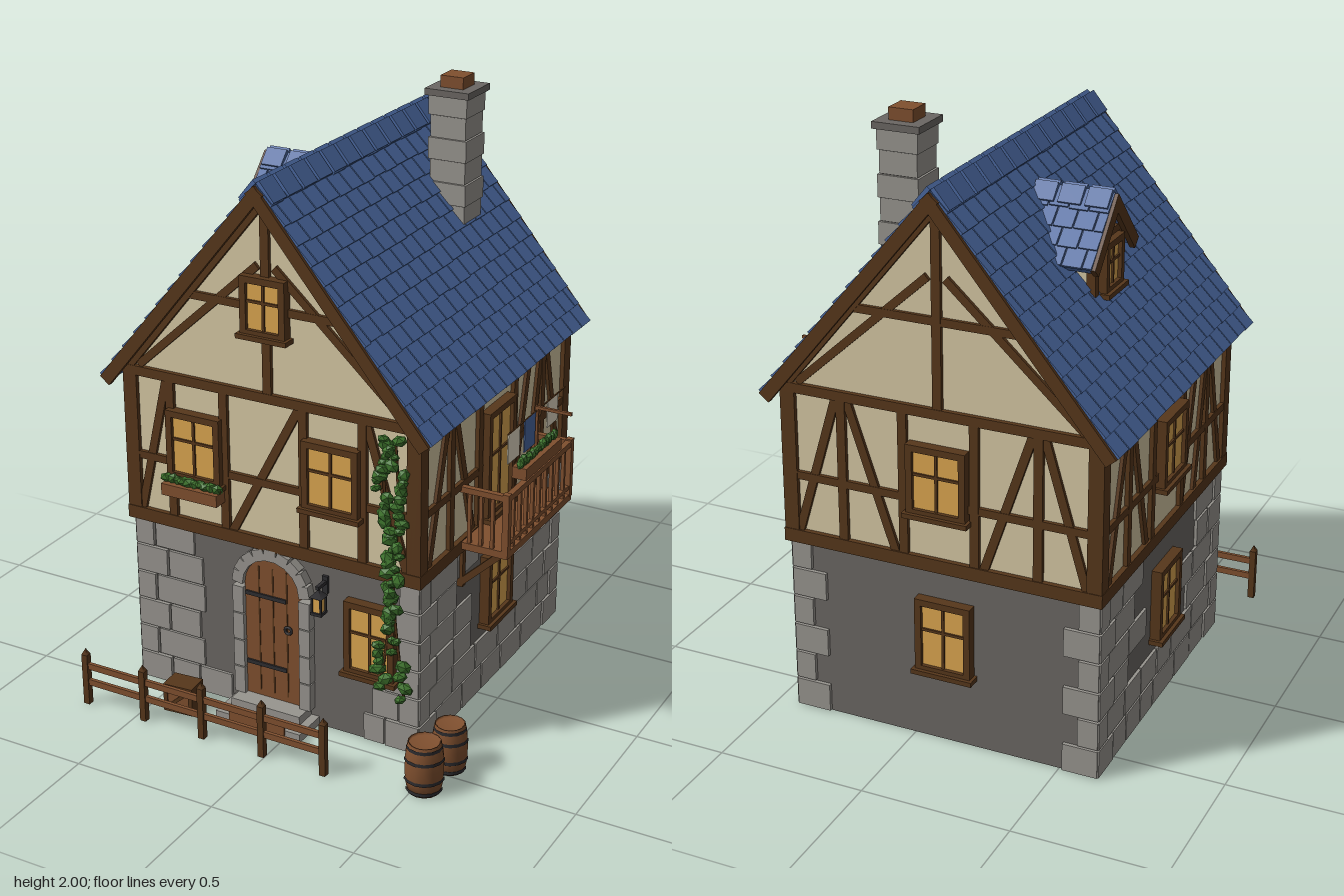
import * as THREE from 'three';
import { mergeGeometries } from 'three/addons/utils/BufferGeometryUtils.js';

const mat = (name, color) => Object.assign(new THREE.MeshStandardMaterial({ color }), { name });
const M = {
  stone: mat('stone', 0x98958f), mortar: mat('mortar', 0x6b6763), plaster: mat('plaster', 0xd6c8a4),
  timber: mat('dark timber', 0x57371b), wood: mat('warm wood', 0x80502f), roof: mat('blue tile', 0x4a68a0),
  glass: mat('lit glass', 0xdca650), leaf: mat('leaf green', 0x427a30), iron: mat('iron', 0x2e2d30),
  linen: mat('linen', 0xe2dac4),
};
let seed = 7;
const rnd = () => (seed = (seed * 16807) % 2147483647) / 2147483647;

// helpers: transformed boxes, bars between two points, merged named meshes
const put = (g, x, y, z, rx = 0, ry = 0, rz = 0) => g.applyMatrix4(new THREE.Matrix4().compose(
  new THREE.Vector3(x, y, z), new THREE.Quaternion().setFromEuler(new THREE.Euler(rx, ry, rz)), new THREE.Vector3(1, 1, 1)));
const box = (w, h, d, ...p) => put(new THREE.BoxGeometry(w, h, d), ...p);
const bar = (x1, y1, x2, y2, w, d, z = 0) =>
  box(Math.hypot(x2 - x1, y2 - y1), w, d, (x1 + x2) / 2, (y1 + y2) / 2, z, 0, 0, Math.atan2(y2 - y1, x2 - x1));
function add(parent, name, material, geos) {
  const mesh = new THREE.Mesh(mergeGeometries(geos.map(g => (g.index ? g.toNonIndexed() : g))), material);
  mesh.name = name;
  parent.add(mesh);
}
function group(parent, name, x = 0, y = 0, z = 0, ry = 0) {
  const g = new THREE.Group();
  g.name = name; g.position.set(x, y, z); g.rotation.y = ry;
  parent.add(g);
  return g;
}
const poly = (pts, depth) => new THREE.ExtrudeGeometry(new THREE.Shape(pts.map(p => new THREE.Vector2(...p))), { depth, bevelEnabled: false });
const blob = (r, x, y, z) => put(new THREE.IcosahedronGeometry(r, 0).scale(1, 0.8, 0.6), x, y, z, rnd(), rnd() * 0.6, rnd() * 3);

// four wall frames: local x along the wall, local z outward
const walls = (parent, name, hx, hz) => ({
  front: group(parent, name + 'Front', 0, 0, hz), back: group(parent, name + 'Back', 0, 0, -hz, Math.PI),
  right: group(parent, name + 'EastSide', hx, 0, 0, Math.PI / 2), left: group(parent, name + 'WestSide', -hx, 0, 0, -Math.PI / 2),
});

function windowAt(parent, x, y0, y1, w, z = 0) {
  const g = group(parent, 'window', x, (y0 + y1) / 2, z), h = y1 - y0, t = 0.022;
  add(g, 'pane', M.glass, [box(w - t, h - t, 0.008, 0, 0, 0.018)]);
  add(g, 'windowFrame', M.timber, [
    ...[-1, 1].flatMap(s => [box(t, h, 0.05, s * (w - t) / 2, 0, 0.01), box(w, t, 0.05, 0, s * (h - t) / 2, 0.01)]),
    box(0.009, h, 0.012, 0, 0, 0.022), box(w, 0.009, 0.012, 0, h * 0.08, 0.022), box(w + 0.02, 0.016, 0.065, 0, -h / 2, 0.015)]);
}

function flowerBox(parent, x, y, z, w) {
  add(parent, 'flowerBox', M.wood, [box(w, 0.04, 0.05, x, y, z)]);
  add(parent, 'flowers', M.leaf, Array.from({ length: Math.round(w / 0.022) }, (_, i, n = Math.round(w / 0.022)) =>
    blob(0.021 + rnd() * 0.006, x + ((i + 0.5) / n - 0.5) * w, y + 0.028 + rnd() * 0.006, z)));
}

// stone courses with quoins; gaps are [x0, x1, y0, y1] kept clear
function masonry(parent, half, gaps, skip) {
  const out = [], H = 0.61 / 6;
  const lay = (a, b, r, d) => out.push(box(b - a - 0.007, H - 0.007, d, (a + b) / 2, (r + 0.5) * H, 0));
  for (let r = 0; r < 6; r++) {
    const q = r % 2 ? 0.075 : 0.125, e = half + 0.012;
    lay(-e, -e + q, r, 0.026); lay(e - q, e, r, 0.026);
    for (let a = -e + q; a < e - q - 0.01;) {
      let b = a + 0.11 + rnd() * 0.09;
      if (b > e - q - 0.06) b = e - q;
      const hit = gaps.some(g => a < g[1] && b > g[0] && r * H < g[3] && (r + 1) * H > g[2]);
      if (!hit && rnd() >= skip) lay(a, b, r, 0.016 + rnd() * 0.006);
      a = b;
    }
  }
  add(parent, 'stoneBlocks', M.stone, out);
}

// upper-floor timber frame
function timbers(parent, half, posts, braces) {
  add(parent, 'timberFrame', M.timber, [
    box(2 * half + 0.034, 0.045, 0.034, 0, 0.632, 0), box(2 * half, 0.026, 0.026, 0, 0.845, 0), box(2 * half + 0.02, 0.032, 0.032, 0, 1.14, 0),
    ...[-half + 0.01, half - 0.01].map(x => box(0.05, 0.5, 0.03, x, 0.89, 0)),
    ...posts.map(x => box(0.03, 0.5, 0.028, x, 0.89, 0)),
    ...braces.map(([a, b]) => bar(a, 0.65, b, 1.125, 0.028, 0.022))]);
}

// pitched roof: two slabs with staggered tiles, verge boards and ridge tiles
function pitchedRoof(parent, apex, run, drop, z0, z1, rows, cols, ridgeCount, boardEnds) {
  const L = Math.hypot(run, drop), D = z1 - z0, zc = (z0 + z1) / 2, pitch = L / rows, tw = D / cols;
  for (const s of [1, -1]) {
    const turn = group(parent, 'roofSide', 0, apex, zc, s > 0 ? 0 : Math.PI);
    const g = group(turn, 'slope');
    g.rotation.z = -Math.atan2(drop, run);
    const tiles = [box(L, 0.025, D, L / 2, -0.012, 0)];
    for (let r = 0; r < rows; r++) for (let c = 0; c <= cols; c++) {
      const a = Math.max(-D / 2, -D / 2 + (c - (r % 2) / 2) * tw), b = Math.min(D / 2, -D / 2 + (c + 1 - (r % 2) / 2) * tw);
      if (b - a < 0.01) continue;
      tiles.push(box(pitch + 0.004 + rnd() * 0.008, 0.01, b - a - 0.005, (r + 0.5) * pitch, 0.005, (a + b) / 2, 0, 0, 0.1));
    }
    add(g, 'roofTiles', M.roof, tiles);
    add(g, 'vergeBoards', M.timber, boardEnds.map(e => box(L + 0.005, 0.042, 0.018, L / 2, -0.016, e * s * D / 2)));
    const rt = D / ridgeCount, rw = Math.min(0.08, L * 0.25);
    add(g, 'ridgeTiles', M.roof, Array.from({ length: ridgeCount }, (_, i) => box(rw, 0.014, rt - 0.014, rw / 2 - 0.008, 0.014, -D / 2 + (i + 0.5) * rt)));
  }
}

function barrel(parent, x, z, r, h) {
  const g = group(parent, 'barrel', x, 0, z);
  const prof = [[0, 0], [0.84, 0], [0.97, 0.25], [1, 0.5], [0.97, 0.75], [0.84, 1], [0.78, 1], [0.78, 0.95], [0, 0.95]];
  add(g, 'staves', M.wood, [new THREE.LatheGeometry(prof.map(p => new THREE.Vector2(p[0] * r * 0.97, p[1] * h)), 14)]);
  add(g, 'hoops', M.iron, [[0.07, 0.9], [0.3, 1], [0.7, 1], [0.93, 0.9]].map(([t, k]) =>
    put(new THREE.CylinderGeometry(r * k, r * k, 0.012, 14, 1, true), 0, t * h, 0)));
}

export function createModel() {
  const model = new THREE.Group();
  model.name = 'timberFramedHouse';
  const house = group(model, 'house', -0.103, 0, -0.1);

  // ground floor
  add(house, 'groundFloor', M.mortar, [box(1.04, 0.61, 1.06, 0, 0.305, 0)]);
  const G = walls(house, 'ground', 0.52, 0.53);
  masonry(G.front, 0.52, [[-0.15, 0.15, 0, 0.61], [0.26, 0.46, 0.22, 0.53], [0.15, 0.26, 0.2, 0.61]], 0.12);
  masonry(G.right, 0.53, [[-0.11, 0.12, 0.23, 0.52]], 0.03);
  masonry(G.left, 0.53, [[-0.13, 0.13, 0.23, 0.52]], 0.03);
  masonry(G.back, 0.52, [[-1, 1, 0, 1]], 0);
  windowAt(G.front, 0.36, 0.245, 0.505, 0.18);
  for (const side of [G.right, G.left, G.back]) windowAt(side, 0.01, 0.25, 0.505, 0.19);

  // arched door, surround and steps
  const arch = [[-0.105, 0.06], [0.105, 0.06], ...Array.from({ length: 13 }, (_, i) => [0.105 * Math.cos(i * Math.PI / 12), 0.47 + 0.105 * Math.sin(i * Math.PI / 12)])];
  add(G.front, 'door', M.wood, [poly(arch, 0.016)]);
  add(G.front, 'doorPlankGaps', M.timber, [-0.052, 0, 0.052].map(x => box(0.005, 0.46, 0.004, x, 0.31, 0.016)));
  add(G.front, 'doorFittings', M.iron, [box(0.15, 0.014, 0.006, -0.025, 0.435, 0.019), box(0.15, 0.014, 0.006, -0.025, 0.18, 0.019),
    put(new THREE.TorusGeometry(0.012, 0.005, 6, 12), 0.06, 0.335, 0.024)]);
  const surround = [-1, 1].flatMap(s => [0, 1, 2, 3].map(i => box(0.04, 0.096, 0.045, s * 0.124, 0.108 + i * 0.1, 0.01)));
  for (let i = 0; i < 9; i++) {
    const a = (i + 0.5) * Math.PI / 9;
    surround.push(box(0.04, 0.043, 0.045, 0.124 * Math.cos(a), 0.47 + 0.124 * Math.sin(a), 0.01, 0, 0, a));
  }
  add(G.front, 'doorSurround', M.stone, surround);
  add(G.front, 'steps', M.stone, [box(0.32, 0.03, 0.13, 0, 0.015, 0.065), box(0.26, 0.03, 0.08, 0, 0.045, 0.04)]);
  add(G.front, 'stepBoard', M.wood, [box(0.21, 0.045, 0.008, 0, 0.035, 0.132)]);

  // lantern
  const lantern = group(G.front, 'lantern', 0.19, 0.485, 0.05);
  add(lantern, 'lanternIron', M.iron, [box(0.012, 0.012, 0.06, 0, 0.055, -0.02), box(0.02, 0.06, 0.01, 0, 0.045, -0.045),
    put(new THREE.ConeGeometry(0.032, 0.025, 4), 0, 0.035, 0, 0, Math.PI / 4), box(0.04, 0.01, 0.04, 0, -0.035, 0),
    ...[-1, 1].flatMap(a => [-1, 1].map(b => box(0.006, 0.06, 0.006, a * 0.016, -0.005, b * 0.016)))]);
  add(lantern, 'lanternGlass', M.glass, [box(0.028, 0.055, 0.028, 0, -0.005, 0)]);

  // upper floor and gables
  const gable = [[-0.525, 0.61], [0.525, 0.61], [0.525, 1.16], [0, 1.8], [-0.525, 1.16]];
  add(house, 'upperFloor', M.plaster, [put(poly(gable, 1.09), 0, 0, -0.545)]);
  const U = walls(house, 'upper', 0.525, 0.545);
  timbers(U.front, 0.525, [-0.365, -0.165, 0.125, 0.335], [[-0.49, -0.38], [-0.14, 0.11], [0.49, 0.35]]);
  timbers(U.back, 0.525, [-0.33, -0.12, 0.12, 0.33], [[-0.49, -0.35], [-0.15, -0.31], [0.15, 0.31], [0.49, 0.35]]);
  for (const side of [U.right, U.left])
    timbers(side, 0.545, [-0.34, -0.14, 0.12, 0.34], [[-0.49, -0.36], [-0.18, -0.32], [0.13, 0.24], [0.25, 0.33], [0.49, 0.36]]);
  windowAt(U.front, -0.27, 0.8, 1.035, 0.2);
  windowAt(U.front, 0.23, 0.8, 1.035, 0.2);
  flowerBox(U.front, -0.27, 0.768, 0.04, 0.21);
  windowAt(U.back, 0, 0.8, 1.035, 0.2);
  windowAt(U.left, 0, 0.8, 1.035, 0.2);
  windowAt(U.right, -0.02, 0.66, 1.035, 0.2);
  for (const end of [U.front, U.back])
    add(end, 'gableTimbers', M.timber, [box(0.03, 0.63, 0.028, 0, 1.46, 0), box(0.58, 0.026, 0.024, 0, 1.435, 0),
      ...[-1, 1].flatMap(s => [bar(s * 0.48, 1.16, s * 0.03, 1.57, 0.026, 0.022), bar(s * 0.52, 1.15, 0, 1.785, 0.03, 0.03)])]);
  windowAt(U.front, 0, 1.345, 1.54, 0.16);

  // main roof
  pitchedRoof(house, 1.835, 0.585, 0.715, -0.59, 0.605, 13, 16, 13, [-1, 1]);

  // dormer
  const dormer = group(house, 'dormer', -0.357, 0, -0.055, -Math.PI / 2);
  add(dormer, 'dormerWalls', M.plaster, [put(poly([[-0.11, 1.34], [0.11, 1.34], [0.11, 1.59], [0, 1.705], [-0.11, 1.59]], 0.19), 0, 0, -0.22)]);
  add(dormer, 'dormerTimbers', M.timber, [box(0.22, 0.025, 0.03, 0, 1.4, -0.03), box(0.2, 0.022, 0.024, 0, 1.6, -0.03),
    ...[-0.1, 0.1].map(x => box(0.028, 0.24, 0.03, x, 1.47, -0.03))]);
  windowAt(dormer, 0, 1.425, 1.59, 0.14, -0.03);
  pitchedRoof(dormer, 1.725, 0.172, 0.185, -0.265, 0, 4, 4, 3, [1]);

  // chimney
  const chimney = group(house, 'chimney', 0.213, 0, -0.307);
  add(chimney, 'chimneyStones', M.stone, Array.from({ length: 7 }, (_, i) => box(i % 2 ? 0.127 : 0.137, 0.072, i % 2 ? 0.127 : 0.137, 0, 1.466 + i * 0.074, 0)));
  add(chimney, 'chimneyCore', M.mortar, [box(0.12, 0.5, 0.12, 0, 1.69, 0), box(0.158, 0.022, 0.158, 0, 1.95, 0)]);
  add(chimney, 'chimneyPot', M.wood, [box(0.082, 0.04, 0.082, 0, 1.98, 0)]);

  // balcony with brackets, flower box and washing line
  const balcony = group(U.right, 'balcony', -0.025, 0, 0);
  const rails = [box(0.505, 0.025, 0.175, 0, 0.638, 0.09), box(0.505, 0.02, 0.02, 0, 0.835, 0.168), box(0.505, 0.014, 0.014, 0, 0.675, 0.168)];
  for (let i = 0; i <= 10; i++) rails.push(box(0.012, 0.19, 0.012, -0.245 + i * 0.049, 0.74, 0.168));
  for (const s of [-1, 1]) {
    rails.push(box(0.02, 0.02, 0.17, s * 0.243, 0.835, 0.085), box(0.022, 0.21, 0.022, s * 0.243, 0.745, 0.168));
    for (const z of [0.04, 0.08, 0.12]) rails.push(box(0.012, 0.19, 0.012, s * 0.243, 0.74, z));
  }
  add(balcony, 'balconyRailing', M.wood, rails);
  add(balcony, 'balconyBrackets', M.timber, [-0.225, 0.215].flatMap(x => [box(0.022, 0.022, 0.185, x, 0.56, 0.075, -0.76), box(0.022, 0.14, 0.02, x, 0.55, 0.005)]));
  flowerBox(balcony, 0, 0.875, 0.158, 0.275);
  add(balcony, 'linePost', M.wood, [box(0.01, 0.22, 0.01, 0, 0.945, 0.153), box(0.01, 0.01, 0.125, 0, 1.05, 0.21)]);
  add(balcony, 'washingLine', M.timber, [box(0.44, 0.004, 0.004, 0, 1.04, 0.153)]);
  add(balcony, 'linenCloths', M.linen, [box(0.085, 0.1, 0.004, -0.175, 0.988, 0.153), box(0.08, 0.09, 0.004, 0.12, 0.993, 0.153)]);
  add(balcony, 'blueCloth', M.roof, [box(0.08, 0.11, 0.004, -0.055, 0.985, 0.153)]);

  // ivy on the front corner
  const ivy = group(model, 'ivy');
  [[[0.32, 1.1], [0.31, 0.95], [0.34, 0.75], [0.35, 0.5], [0.385, 0.21]], [[0.35, 1.1], [0.36, 0.9], [0.35, 0.7], [0.33, 0.45], [0.3, 0.24]]].forEach(pts => {
    const curve = new THREE.CatmullRomCurve3(pts.map(([x, y]) => new THREE.Vector3(x, y, 0.462)));
    add(ivy, 'ivyStem', M.timber, [new THREE.TubeGeometry(curve, 20, 0.005, 5)]);
    add(ivy, 'ivyLeaves', M.leaf, Array.from({ length: 30 }, (_, i) => {
      const p = curve.getPoint(i / 29);
      return blob(0.02 + rnd() * 0.012, p.x + (rnd() - 0.5) * 0.05, p.y, 0.466 + rnd() * 0.01);
    }));
  });

  // fence
  const fence = group(model, 'fence', 0, 0, 0.68), xs = [0, 1, 2, 3, 4].map(i => -0.69 + i * 0.2262);
  add(fence, 'fencePosts', M.timber, xs.flatMap(x => [box(0.022, 0.185, 0.022, x, 0.0925, 0), put(new THREE.ConeGeometry(0.0155, 0.022, 4), x, 0.196, 0, 0, Math.PI / 4)]));
  add(fence, 'fenceRails', M.wood, [0.083, 0.143].map(y => box(0.905, 0.022, 0.012, -0.2375, y, 0)));

  // barrels and crate
  barrel(model, 0.546, 0.455, 0.06, 0.165);
  barrel(model, 0.53, 0.6, 0.065, 0.175);
  const crate = group(model, 'crate', -0.392, 0, 0.555, 0.08);
  add(crate, 'crateBody', M.wood, [box(0.095, 0.095, 0.07, 0, 0.05, 0)]);
  add(crate, 'crateFrame', M.timber, [-1, 1].flatMap(s => [
    box(0.106, 0.014, 0.08, 0, 0.05 + s * 0.043, 0), box(0.014, 0.09, 0.08, s * 0.046, 0.05, 0),
    bar(-0.045, 0.01, 0.045, 0.09, 0.012, 0.005, s * 0.037)]));
  return model;
}
